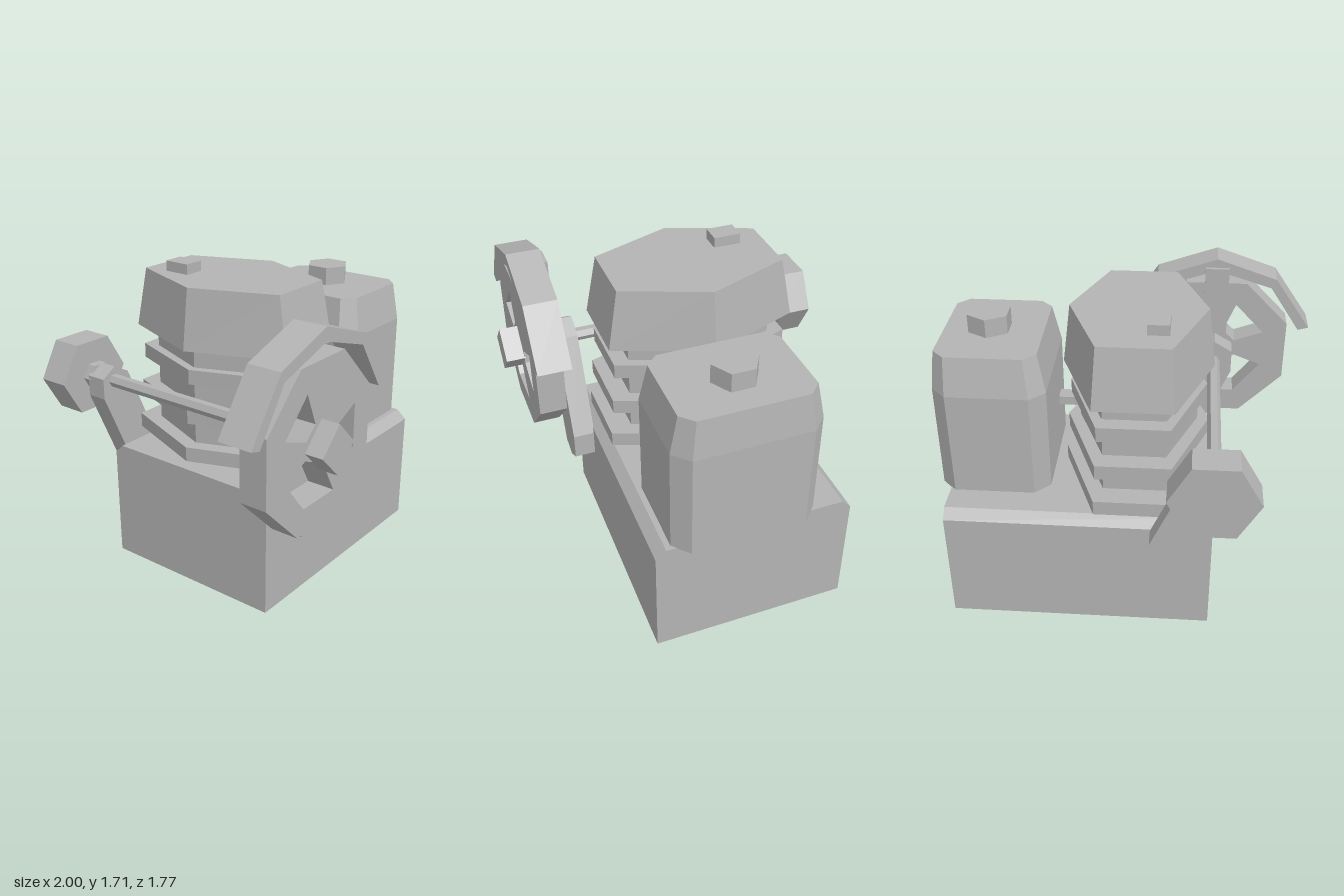
import * as THREE from 'three';

export function createModel() {
  const model = new THREE.Group();
  model.name = 'stationaryEngine';
  const grey = new THREE.MeshStandardMaterial({ color: 0xb4b4b4 });
  grey.name = 'plain grey';

  function add(name, geometry) {
    const flat = geometry.index ? geometry.toNonIndexed() : geometry;
    flat.computeVertexNormals();
    const mesh = new THREE.Mesh(flat, grey);
    mesh.name = name;
    model.add(mesh);
    return mesh;
  }

  // box given by its limits
  function box(name, x0, x1, y0, y1, z0, z1) {
    const g = new THREE.BoxGeometry(x1 - x0, y1 - y0, z1 - z0);
    g.translate((x0 + x1) / 2, (y0 + y1) / 2, (z0 + z1) / 2);
    return add(name, g);
  }

  // outline in x and y, extruded from z0 to z1, with optional holes
  const toPoints = (list) => list.map(([x, y]) => new THREE.Vector2(x, y));
  function prism(name, outline, z0, z1, holes = []) {
    const shape = new THREE.Shape(toPoints(outline));
    holes.forEach((h) => shape.holes.push(new THREE.Path(toPoints(h))));
    const g = new THREE.ExtrudeGeometry(shape, { depth: z1 - z0, bevelEnabled: false });
    g.translate(0, 0, z0);
    return add(name, g);
  }

  // regular polygon in x and y
  const AX = -0.457, AY = 1.057;
  function polygon(sides, r, turn = 0) {
    return Array.from({ length: sides }, (_, i) => {
      const a = turn + (i / sides) * Math.PI * 2;
      return [AX + r * Math.cos(a), AY + r * Math.sin(a)];
    });
  }

  // convex solid through level rings of [x, z], listed bottom to top
  function loft(name, levels) {
    const p = [];
    const n = levels[0].ring.length;
    const put = (l, i) => p.push(l.ring[i % n][0], l.y, l.ring[i % n][1]);
    for (let k = 0; k + 1 < levels.length; k++) {
      const lo = levels[k], hi = levels[k + 1];
      for (let i = 0; i < n; i++) {
        put(lo, i); put(lo, i + 1); put(hi, i + 1);
        put(lo, i); put(hi, i + 1); put(hi, i);
      }
    }
    const bottom = levels[0], top = levels[levels.length - 1];
    for (let i = 1; i < n - 1; i++) {
      put(top, 0); put(top, i); put(top, i + 1);
      put(bottom, 0); put(bottom, i + 1); put(bottom, i);
    }
    const g = new THREE.BufferGeometry();
    g.setAttribute('position', new THREE.Float32BufferAttribute(p, 3));
    return add(name, g);
  }

  // base block with bevelled long top edges
  const base = [[-0.57, 0], [0.485, 0], [0.485, 0.63], [0.43, 0.68], [-0.52, 0.68], [-0.57, 0.63]];
  prism('base', base.map(([z, y]) => [-z, y]), -0.47, 0.94).rotation.y = Math.PI / 2;

  // six-sided cylinder block, cooling fins and tapered hood
  const CX = -0.055, CZ = -0.06;
  const hex = (rx, rz) => {
    const f = rx * 0.513;
    return [[rx, 0], [f, -rz], [-f, -rz], [-rx, 0], [-f, rz], [f, rz]]
      .map(([x, z]) => [CX + x, CZ + z]);
  };
  const column = (name, y0, y1, rx, rz, tx = rx, tz = rz) =>
    loft(name, [{ y: y0, ring: hex(rx, rz) }, { y: y1, ring: hex(tx, tz) }]);
  column('cylinderBlock', 0.67, 1.34, 0.315, 0.39);
  column('lowerFin', 0.715, 0.795, 0.395, 0.51);
  column('middleFin', 0.925, 1.005, 0.378, 0.492);
  column('upperFin', 1.14, 1.22, 0.36, 0.473);
  column('hood', 1.33, 1.65, 0.395, 0.5, 0.355, 0.442);
  box('hoodPlug', -0.22, -0.11, 1.64, 1.705, -0.37, -0.225);

  // tank with cut corners, narrowing to the top
  const cutRect = (x0, x1, z0, z1, c) => [
    [x1, z1 - c], [x1, z0 + c], [x1 - c, z0], [x0 + c, z0],
    [x0, z0 + c], [x0, z1 - c], [x0 + c, z1], [x1 - c, z1],
  ];
  const wide = cutRect(0.405, 0.995, -0.365, 0.4, 0.08);
  loft('tank', [
    { y: 0.675, ring: wide },
    { y: 1.26, ring: wide },
    { y: 1.465, ring: cutRect(0.447, 0.975, -0.32, 0.36, 0.064) },
  ]);
  const cap = new THREE.CylinderGeometry(0.12, 0.12, 0.11, 6);
  cap.translate(0.735, 1.51, 0.018);
  add('tankCap', cap);
  box('fuelPipe', 0.15, 0.42, 0.94, 0.99, 0.125, 0.21);

  // flywheel with three openings, measured from the axle
  const openings = [
    [[-0.285, 0.115], [-0.12, 0.287], [-0.05, 0.12], [-0.12, 0.055]],
    [[-0.28, -0.1], [-0.13, -0.285], [0.123, -0.285], [0.02, -0.1], [-0.125, -0.04]],
    [[0.288, 0.118], [0.288, -0.118], [0.13, -0.03], [0.122, 0.043]],
  ].map((h) => h.map(([x, y]) => [AX + x, AY + y]));
  prism('flywheel', polygon(8, 0.455, Math.PI / 8), 0.64, 0.787, openings);
  prism('flywheelNut', polygon(4, 0.13), 0.78, 0.885);
  prism('flywheelCollar', polygon(8, 0.1, Math.PI / 8), 0.59, 0.65);

  // arched guard over the flywheel and its strut
  const outer = [[-0.545, 0.165], [-0.34, 0.458], [0, 0.573], [0.34, 0.458], [0.545, 0.165]];
  const inner = [[0.485, 0.148], [0.313, 0.406], [0, 0.503], [-0.313, 0.406], [-0.485, 0.148]];
  prism('guard', [...outer, ...inner].map(([x, y]) => [AX + x, AY + y]), 0.62, 0.8);
  box('guardStrut', -0.525, -0.39, 0.955, 1.58, 0.597, 0.622);

  // axle with a six-sided weight at the back
  prism('axle', polygon(6, 0.036), -0.74, 0.7);
  prism('backWeight', polygon(6, 0.225), -0.89, -0.72);
  prism('backCollar', polygon(6, 0.08), -0.73, -0.67);

  // slanted crank arms; the back one is a little smaller
  const arm = [[-0.56, 0.99], [-0.56, 1.12], [-0.46, 1.18], [-0.35, 1.12],
    [-0.12, 0.6], [-0.12, 0.457], [-0.22, 0.4], [-0.32, 0.43]];
  const scaled = (s) => arm.map(([x, y]) => [-0.34 + (x + 0.34) * s, 0.79 + (y - 0.79) * s]);
  prism('frontCrankArm', scaled(1), 0.48, 0.6);
  prism('backCrankArm', scaled(0.88), -0.685, -0.57);

  return model;
}
